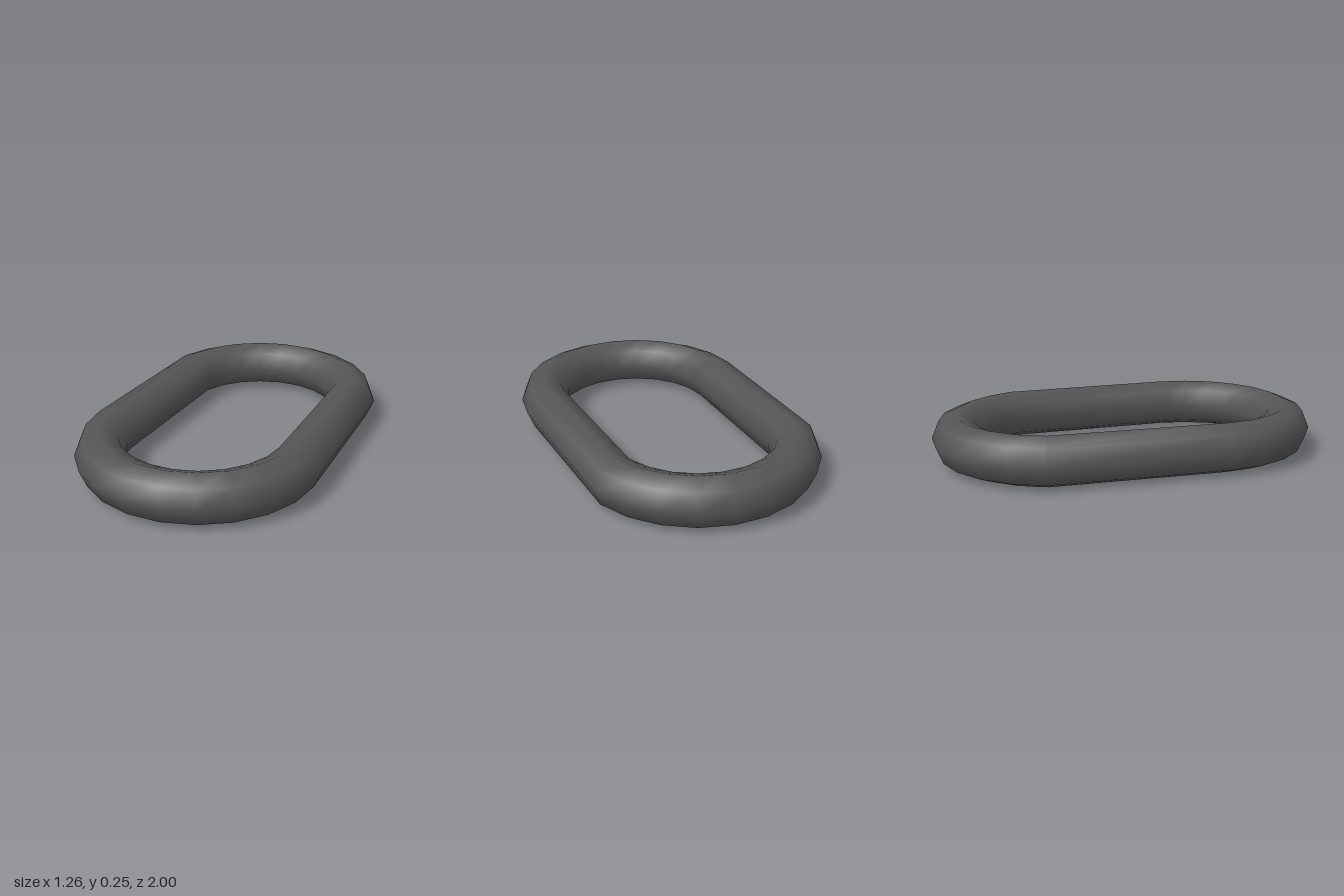
import * as THREE from 'three';

export function createModel() {
  const group = new THREE.Group();
  const ringRadius = 0.504, tubeRadius = 0.126, halfStretch = 0.376;

  // Octagonal ring laid flat, then pulled apart along z into an oblong link
  const geometry = new THREE.TorusGeometry(ringRadius, tubeRadius, 8, 22);
  geometry.rotateX(Math.PI / 2);
  const pos = geometry.attributes.position;
  for (let i = 0; i < pos.count; i++) {
    const z = pos.getZ(i);
    // The two side rings (z = 0) move with the front half
    pos.setZ(i, z + (z > -0.001 ? halfStretch : -halfStretch));
  }
  geometry.translate(0, tubeRadius, 0);

  const link = new THREE.Mesh(geometry, new THREE.MeshStandardMaterial({ color: 0x555555 }));
  link.name = 'chainLink';
  group.add(link);
  return group;
}
